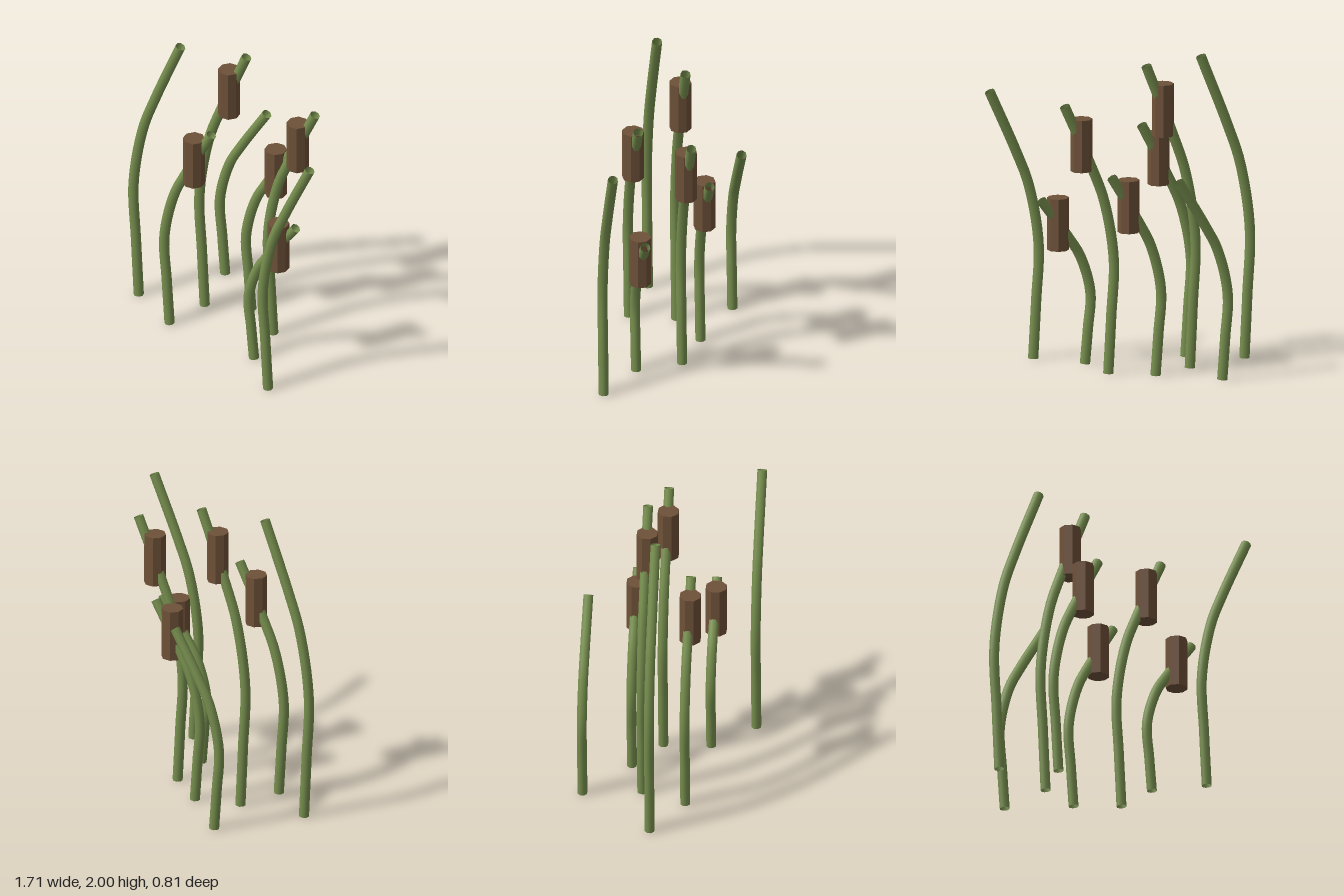
import * as THREE from 'three';

// Stem profile: sideways lean, and fraction of the stem height
const PROFILE = [[0, 0], [-0.019, 0.21], [-0.035, 0.42], [0.028, 0.64], [0.11, 0.77], [0.28, 1]];
const LEAN_Z = -0.39;

// Base x, base z, height, has a seed head
const REEDS = [
  [-0.79, 0.305, 1.985, false],
  [-0.625, -0.265, 1.31, false],
  [-0.435, 0.06, 1.985, true],
  [-0.42, 0.36, 1.53, true],
  [-0.21, -0.135, 1.31, true],
  [0.085, -0.07, 1.76, true],
  [0.22, 0.2, 1.085, true],
  [0.54, 0.35, 1.76, false],
];

export function createModel() {
  const green = new THREE.MeshStandardMaterial({ color: 0x78904f, side: THREE.DoubleSide });
  green.name = 'stem green';
  const brown = new THREE.MeshStandardMaterial({ color: 0x6f5239, flatShading: true });
  brown.name = 'seed head brown';

  const model = new THREE.Group();
  model.name = 'reeds';
  const headGeometry = new THREE.CylinderGeometry(0.07, 0.07, 0.338, 8);

  REEDS.forEach(([x, z, height, hasHead], i) => {
    const reed = new THREE.Group();
    reed.name = `reed${i + 1}`;
    reed.position.set(x, 0, z);

    // Hollow, bent stem
    const curve = new THREE.CatmullRomCurve3(
      PROFILE.map(([lean, t]) => new THREE.Vector3(lean, t * height, lean * LEAN_Z)));
    const stem = new THREE.Mesh(new THREE.TubeGeometry(curve, 28, 0.0325, 8, false), green);
    stem.name = 'stem';
    reed.add(stem);

    // Upright seed head around the upper stem
    if (hasHead) {
      const head = new THREE.Mesh(headGeometry, brown);
      head.name = 'seedHead';
      head.position.set(0.172, height * 0.851, 0.172 * LEAN_Z + 0.01);
      reed.add(head);
    }
    model.add(reed);
  });
  return model;
}
